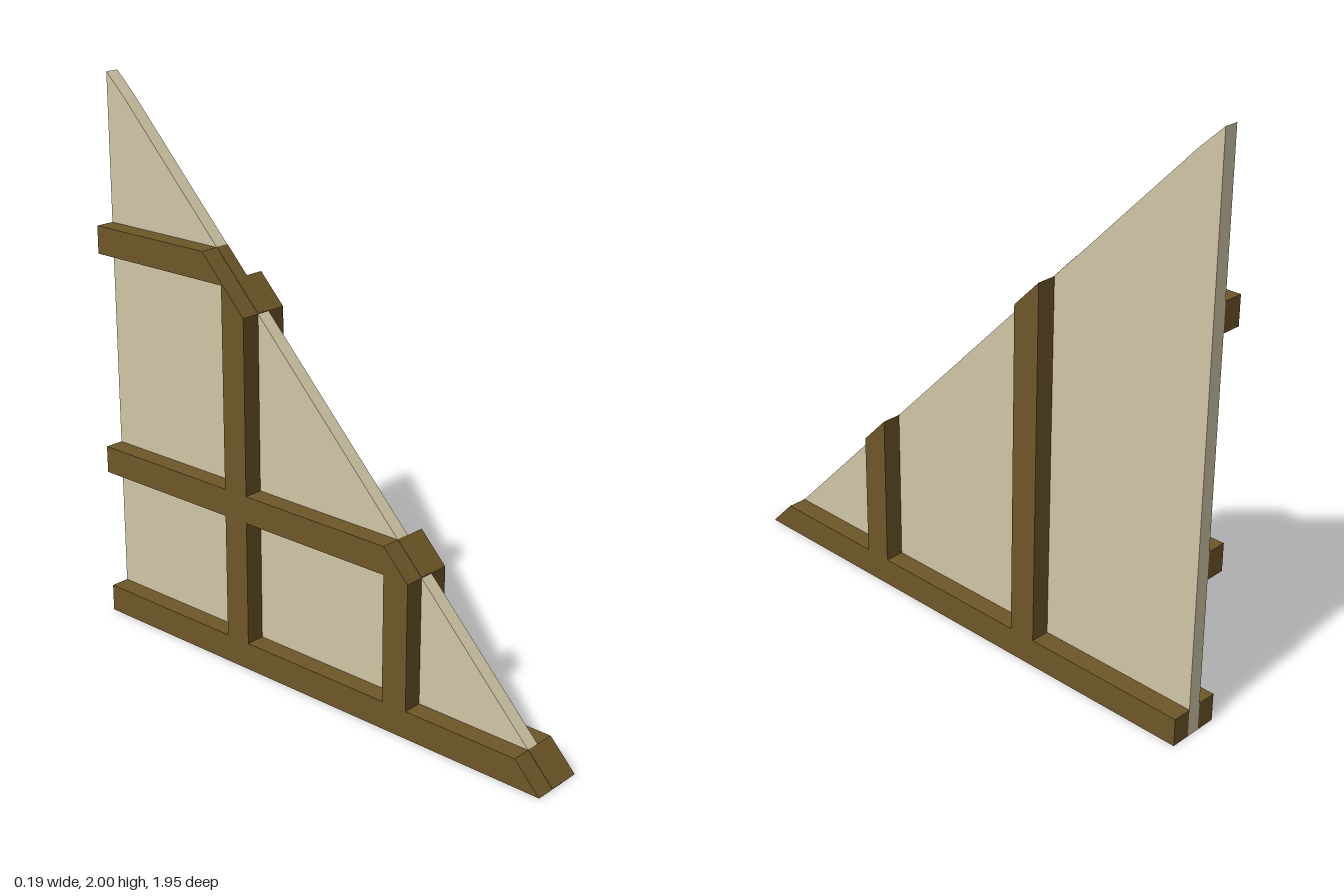
import * as THREE from 'three';

const FRONT = 0.975, BACK = -0.975;
const slopeY = z => (FRONT - z) * 1.03;
const slopeZ = y => FRONT - y / 1.03;

const timber = new THREE.MeshStandardMaterial({ color: 0x6e5628 });
const plaster = new THREE.MeshStandardMaterial({ color: 0xd0c6a6 });

// Extrudes a [z, y] outline between two x positions
function slab(name, outline, x0, x1, material) {
  const shape = new THREE.Shape(outline.map(([z, y]) => new THREE.Vector2(z, y)));
  const geometry = new THREE.ExtrudeGeometry(shape, { depth: x1 - x0, bevelEnabled: false });
  geometry.rotateY(-Math.PI / 2);
  geometry.translate(x1, 0, 0);
  const mesh = new THREE.Mesh(geometry, material);
  mesh.name = name;
  return mesh;
}

export function createModel() {
  const group = new THREE.Group();
  group.name = 'triangularWall';
  const T = 0.025, W = 0.095;   // half thickness of panel and of whole frame
  const beam = 0.1;

  // Triangular infill panel
  group.add(slab('wallPanel',
    [[FRONT, 0], [-0.89, slopeY(-0.89)], [BACK, 2], [BACK, 0]], -T, T, plaster));

  // Sill and posts on both faces, cut to the slope
  const posts = [['frontPost', 0.44, 0.34], ['rearPost', -0.27, -0.37]];
  for (const [side, x0, x1] of [['left', T, W], ['right', -W, -T]]) {
    const frame = new THREE.Group();
    frame.name = side + 'Frame';
    frame.add(slab('sill',
      [[FRONT, 0], [slopeZ(beam), beam], [BACK, beam], [BACK, 0]], x0, x1, timber));
    for (const [name, zf, zb] of posts) {
      frame.add(slab(name,
        [[zf, beam], [zf, slopeY(zf)], [zb, slopeY(zb)], [zb, beam]], x0, x1, timber));
    }
    group.add(frame);
  }

  // Horizontal rails on one face only
  const rail = (name, outline) => group.add(slab(name, outline, -W, -T, timber));
  rail('middleRailFront', [[0.34, 0.555], [0.34, 0.654], [-0.27, 0.654], [-0.27, 0.555]]);
  rail('middleRailRear', [[-0.37, 0.555], [-0.37, 0.654], [BACK, 0.654], [BACK, 0.555]]);
  rail('topRail', [[-0.37, 1.375], [-0.37, slopeY(-0.37)], [slopeZ(1.475), 1.475],
    [BACK, 1.475], [BACK, 1.375]]);

  // Timber ends showing across the sloping edge of the panel
  const caps = [['sillCap', FRONT, slopeZ(beam)], ['frontPostCap', 0.44, 0.34],
    ['rearPostCap', -0.27, slopeZ(1.475)]];
  for (const [name, zf, zb] of caps) {
    const lift = 0.002;
    group.add(slab(name, [[zf, slopeY(zf)], [zf, slopeY(zf) + lift],
      [zb, slopeY(zb) + lift], [zb, slopeY(zb)]], -T, T, timber));
  }
  return group;
}
